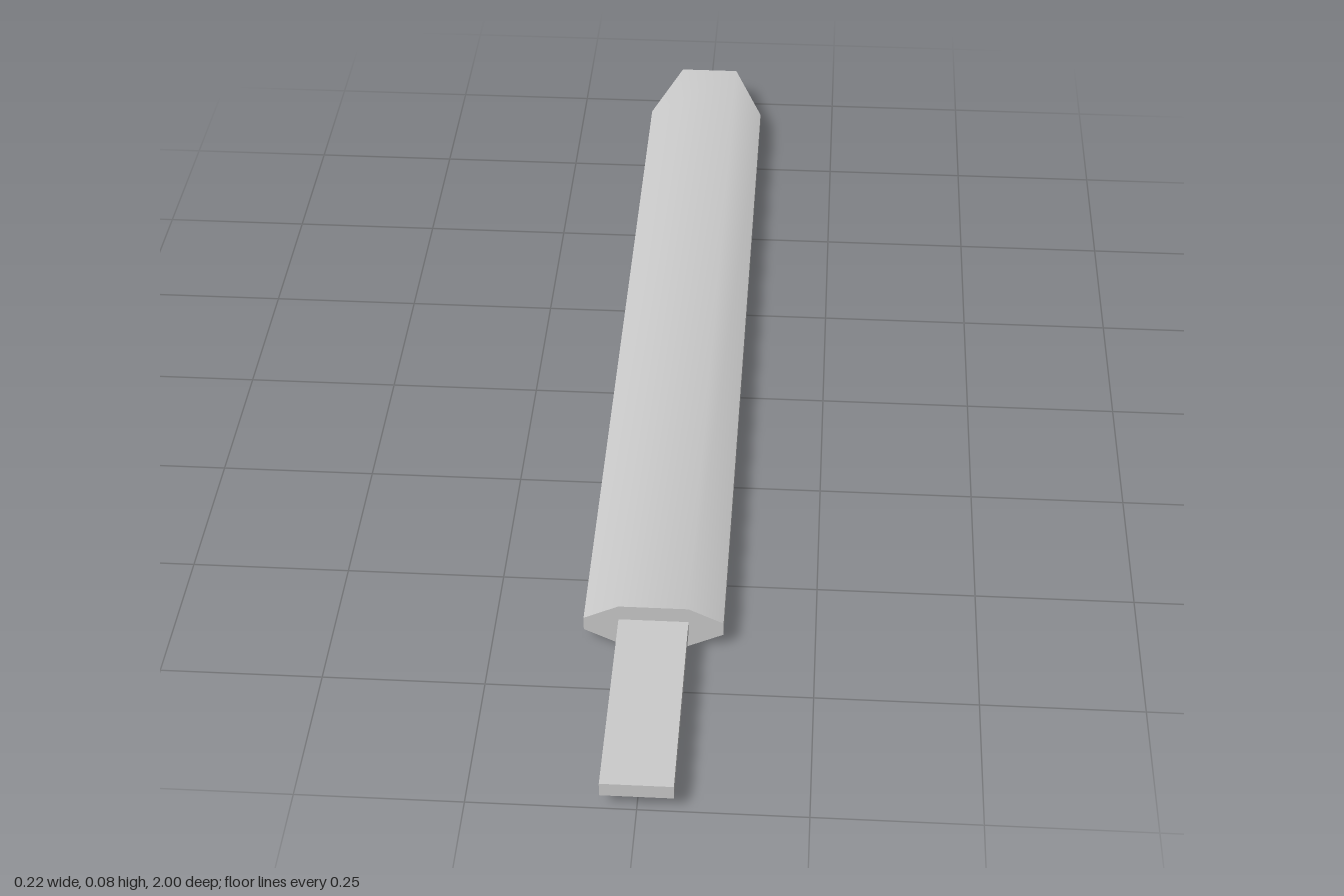
import * as THREE from 'three';

const W = 0.108, N = 0.054;               // half width, half width of flat and tip
const Y = [0, 0.026, 0.049, 0.075];       // bottom, lower rim, upper rim, top
const FRONT = 0.645, SHOULDER = -0.875, TIP = -1;

// Smooth surface from points and faces (each face a convex loop, counter-clockwise from outside)
function surface(points, faces) {
  const index = [];
  for (const f of faces)
    for (let i = 1; i < f.length - 1; i++) index.push(f[0], f[i], f[i + 1]);
  const g = new THREE.BufferGeometry();
  g.setAttribute('position', new THREE.Float32BufferAttribute(points.flat(), 3));
  g.setIndex(index);
  g.computeVertexNormals();
  return g;
}

// Flat centre with a bevel on each side, both running out at the cut tip
function skin(flatY, rimY, flip) {
  const points = [
    [-W, rimY, FRONT], [-N, flatY, FRONT], [N, flatY, FRONT], [W, rimY, FRONT],
    [-W, rimY, SHOULDER], [-N, flatY, SHOULDER], [N, flatY, SHOULDER], [W, rimY, SHOULDER],
    [-N, flatY, TIP], [N, flatY, TIP],
  ];
  const faces = [[0, 1, 5, 4], [1, 2, 6, 5], [2, 3, 7, 6], [4, 5, 8], [5, 6, 9, 8], [6, 7, 9]];
  return surface(points, flip ? faces.map((f) => [...f].reverse()) : faces);
}

// Upright band around the sides and the tip
function wall() {
  const path = [
    [W, FRONT, 1, 2], [W, SHOULDER, 1, 2], [N, TIP, 0, 3],
    [-N, TIP, 0, 3], [-W, SHOULDER, 1, 2], [-W, FRONT, 1, 2],
  ];
  const points = path.flatMap(([x, z, lo, hi]) => [[x, Y[lo], z], [x, Y[hi], z]]);
  const faces = [];
  for (let i = 0; i < path.length - 1; i++) {
    const a = i * 2;
    faces.push([a, a + 2, a + 3, a + 1]);
  }
  return surface(points, faces);
}

export function createModel() {
  const model = new THREE.Group();
  const material = new THREE.MeshStandardMaterial({ color: 0xcccccc });
  const add = (name, geometry, parent) => {
    const mesh = new THREE.Mesh(geometry, material);
    mesh.name = name;
    parent.add(mesh);
    return mesh;
  };

  // Bevelled body
  const body = new THREE.Group();
  body.name = 'body';
  model.add(body);
  add('topSkin', skin(Y[3], Y[2], false), body);
  add('bottomSkin', skin(Y[0], Y[1], true), body);
  add('sideWall', wall(), body);
  const section = [[-N, Y[0]], [N, Y[0]], [W, Y[1]], [W, Y[2]], [N, Y[3]], [-N, Y[3]], [-W, Y[2]], [-W, Y[1]]];
  const endShape = new THREE.Shape(section.map(([x, y]) => new THREE.Vector2(x, y)));
  add('frontFace', new THREE.ShapeGeometry(endShape), body).position.z = FRONT;

  // Flat tongue reaching out of the front
  const length = 1 - FRONT;
  add('tongue', new THREE.BoxGeometry(N * 2, Y[2] - Y[1], length), model)
    .position.set(0, (Y[1] + Y[2]) / 2, FRONT + length / 2);

  return model;
}
